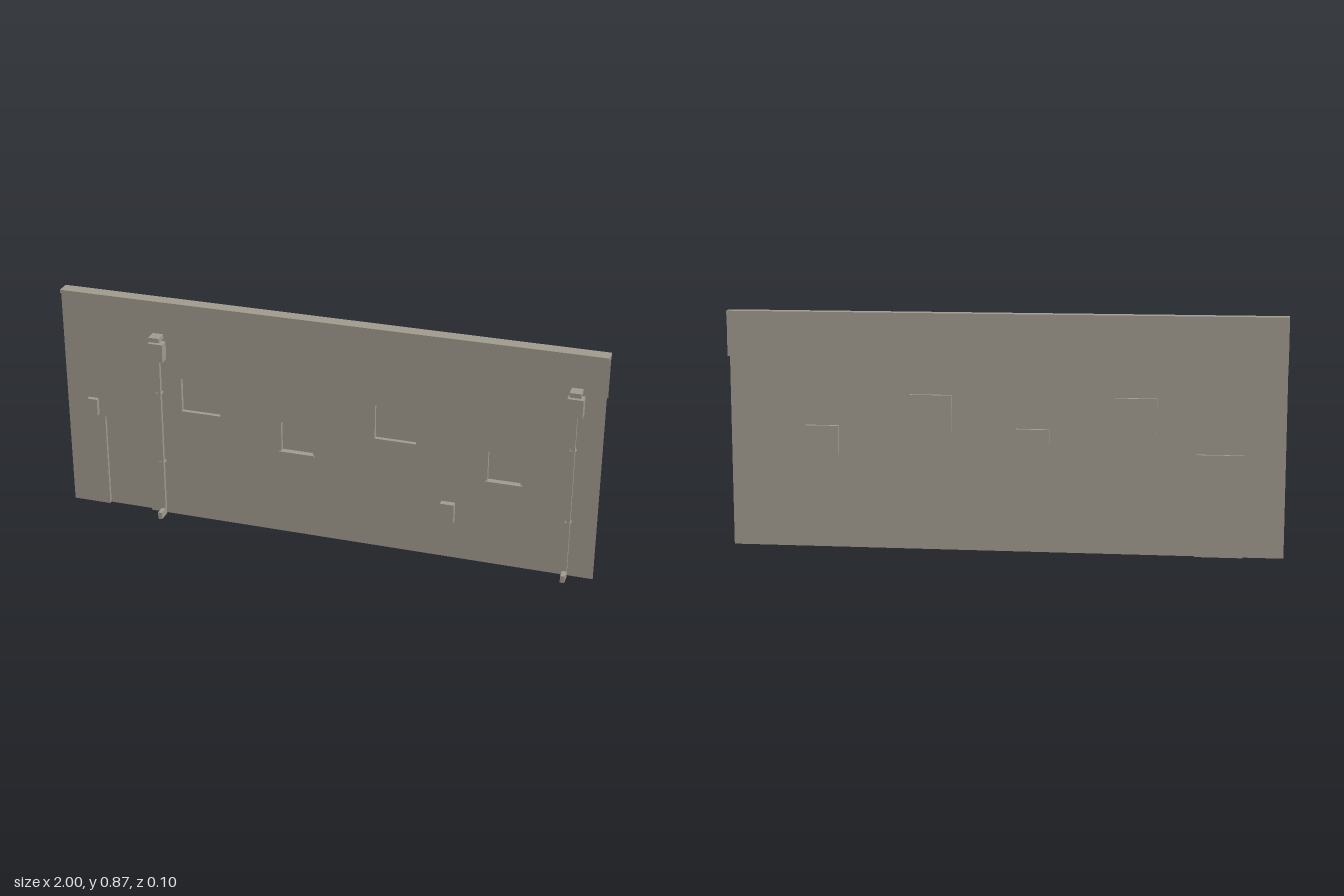
import * as THREE from 'three';

const stone = new THREE.MeshStandardMaterial({ color: 0xa09b8e, side: THREE.DoubleSide });
stone.name = 'stone grey';

const WALL_Z = -0.007;

function add(parent, name, geometry) {
  const mesh = new THREE.Mesh(geometry, stone);
  mesh.name = name;
  parent.add(mesh);
  return mesh;
}

// Box given by its limits on each axis
function box(parent, name, x0, x1, y0, y1, z0, z1) {
  const mesh = add(parent, name, new THREE.BoxGeometry(x1 - x0, y1 - y0, z1 - z0));
  mesh.position.set((x0 + x1) / 2, (y0 + y1) / 2, (z0 + z1) / 2);
}

// Upright sheet facing +z
function sheet(parent, name, x0, x1, y0, y1, z) {
  const mesh = add(parent, name, new THREE.PlaneGeometry(x1 - x0, y1 - y0));
  mesh.position.set((x0 + x1) / 2, (y0 + y1) / 2, z);
}

// Recessed panel with its side, top and (for windows) bottom reveals
function recess(parent, name, { x0, x1, y0, y1, depth }) {
  const group = new THREE.Group();
  group.name = name;
  parent.add(group);
  const back = WALL_Z - depth, midZ = WALL_Z - depth / 2;
  sheet(group, name + 'Panel', x0, x1, y0, y1, back);
  for (const [x, turn] of [[x0, 1], [x1, -1]]) {
    const side = add(group, name + 'Jamb', new THREE.PlaneGeometry(depth, y1 - y0));
    side.rotation.y = turn * Math.PI / 2;
    side.position.set(x, (y0 + y1) / 2, midZ);
  }
  for (const [y, turn] of y0 > 0 ? [[y1, 1], [y0, -1]] : [[y1, 1]]) {
    const edge = add(group, name + (turn > 0 ? 'Head' : 'Base'), new THREE.PlaneGeometry(x1 - x0, depth));
    edge.rotation.x = turn * Math.PI / 2;
    edge.position.set((x0 + x1) / 2, y, midZ);
  }
}

// Square downpipe with hopper, cap, brackets and outlet shoe
function downpipe(parent, x) {
  const group = new THREE.Group();
  group.name = 'downpipe';
  group.position.x = x;
  parent.add(group);
  box(group, 'pipe', -0.008, 0.008, 0.027, 0.64, 0, 0.014);
  box(group, 'shoe', -0.008, 0.008, 0, 0.027, 0, 0.05);
  box(group, 'hopper', -0.028, 0.028, 0.64, 0.71, WALL_Z, 0.03);
  box(group, 'hopperCap', -0.02, 0.02, 0.72, 0.737, WALL_Z, 0.037);
  for (const y of [0.222, 0.505])
    box(group, 'bracket', -0.011, 0.011, y - 0.003, y + 0.003, WALL_Z, 0.016);
}

export function createModel() {
  const model = new THREE.Group();
  model.name = 'wallFacade';

  const windows = [
    { x0: -0.545, x1: -0.395, y0: 0.437, y1: 0.568, depth: 0.016 },
    { x0: 0.189, x1: 0.341, y0: 0.437, y1: 0.568, depth: 0.016 },
    { x0: -0.162, x1: -0.042, y0: 0.334, y1: 0.45, depth: 0.016, sill: true },
    { x0: 0.603, x1: 0.723, y0: 0.334, y1: 0.45, depth: 0.016, sill: true },
  ];
  const door = { x0: -0.855, x1: -0.684, y0: 0, y1: 0.37, depth: 0.012 };

  // Wall sheet, notched for the door and pierced for the windows
  const outline = [
    [-1, 0], [door.x0, 0], [door.x0, door.y1], [door.x1, door.y1],
    [door.x1, 0], [1, 0], [1, 0.853], [-1, 0.853],
  ];
  const shape = new THREE.Shape(outline.map(([x, y]) => new THREE.Vector2(x, y)));
  for (const { x0, x1, y0, y1 } of windows) {
    const corners = [[x0, y0], [x0, y1], [x1, y1], [x1, y0]];
    shape.holes.push(new THREE.Path(corners.map(([x, y]) => new THREE.Vector2(x, y))));
  }
  add(model, 'wall', new THREE.ShapeGeometry(shape)).position.z = WALL_Z;

  // Openings and sills
  recess(model, 'door', door);
  for (const w of windows) {
    recess(model, 'window', w);
    if (w.sill) box(model, 'windowSill', w.x0 - 0.006, w.x1 + 0.006, 0.322, 0.334, WALL_Z, 0.001);
  }

  // Parapet: rear sheet and coping
  sheet(model, 'parapetBack', -1, 1, 0.7, 0.853, -0.04);
  box(model, 'coping', -1, 1, 0.852, 0.865, -0.048, 0.002);

  // Wall boxes and downpipes
  box(model, 'meterBox', -0.915, -0.877, 0.376, 0.443, WALL_Z, 0.01);
  box(model, 'ventBox', 0.44, 0.491, 0.152, 0.226, WALL_Z, 0.016);
  for (const x of [-0.627, 0.9]) downpipe(model, x);

  return model;
}
